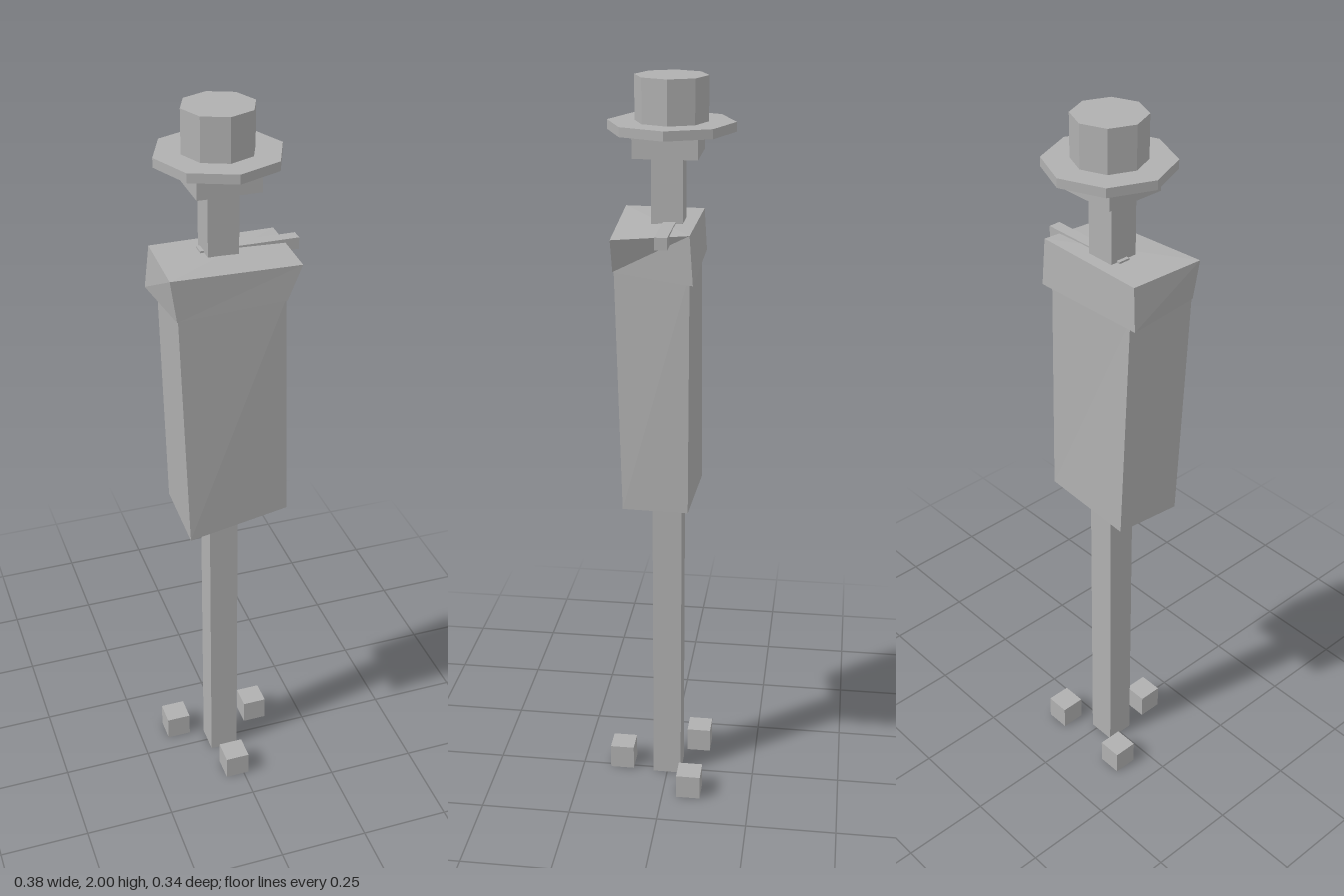
import * as THREE from 'three';

export function createModel() {
  const model = new THREE.Group();
  const grey = new THREE.MeshStandardMaterial({ color: 0xb0b0b0, flatShading: true });
  grey.name = 'plain grey';

  function add(name, geometry, x = 0, y = 0, z = 0) {
    const mesh = new THREE.Mesh(geometry, grey);
    mesh.name = name;
    mesh.position.set(x, y, z);
    model.add(mesh);
  }

  // Box whose eight corners are pulled into place.
  // Each ring runs: front +x, front -x, back -x, back +x.
  function skewedBox(top, bottom) {
    const geometry = new THREE.BoxGeometry(1, 1, 1).toNonIndexed();
    const p = geometry.attributes.position;
    for (let i = 0; i < p.count; i++) {
      const right = p.getX(i) > 0, front = p.getZ(i) > 0;
      const corner = front ? (right ? 0 : 1) : (right ? 3 : 2);
      p.setXYZ(i, ...(p.getY(i) > 0 ? top : bottom)[corner]);
    }
    geometry.computeVertexNormals();
    return geometry;
  }

  // Central post
  add('post', new THREE.BoxGeometry(0.08, 1.83, 0.08), -0.02, 0.915, 0);

  // Sagging coat body
  add('coatBody', skewedBox(
    [[0.115, 1.54, 0.122], [-0.166, 1.54, 0.132], [-0.16, 1.54, -0.07], [0.126, 1.54, -0.07]],
    [[0.138, 0.898, 0.103], [-0.14, 0.865, 0.124], [-0.14, 0.885, -0.078], [0.138, 0.895, -0.07]]
  ));

  // Shoulder yoke overhanging the coat
  add('shoulders', skewedBox(
    [[0.155, 1.625, 0.124], [-0.185, 1.637, 0.136], [-0.177, 1.637, -0.075], [0.149, 1.64, -0.072]],
    [[0.117, 1.535, 0.125], [-0.168, 1.525, 0.133], [-0.188, 1.523, -0.081], [0.151, 1.515, -0.081]]
  ));

  // Crossbar with its end sticking out of the shoulder
  add('crossbar', new THREE.BoxGeometry(0.258, 0.031, 0.032), 0.059, 1.6275, -0.006);

  // Head block and hat
  add('head', new THREE.BoxGeometry(0.164, 0.06, 0.164), -0.018, 1.837, 0);
  add('hatBrim', new THREE.CylinderGeometry(0.162, 0.162, 0.024, 8), -0.017, 1.877, -0.007);
  add('hatCrown', new THREE.CylinderGeometry(0.093, 0.093, 0.112, 8), -0.017, 1.944, -0.007);

  // Three loose blocks around the base
  for (const [x, z] of [[-0.137, -0.08], [-0.02, 0.134], [0.106, -0.075]]) {
    add('baseBlock', new THREE.BoxGeometry(0.068, 0.07, 0.068), x, 0.035, z);
  }

  return model;
}
